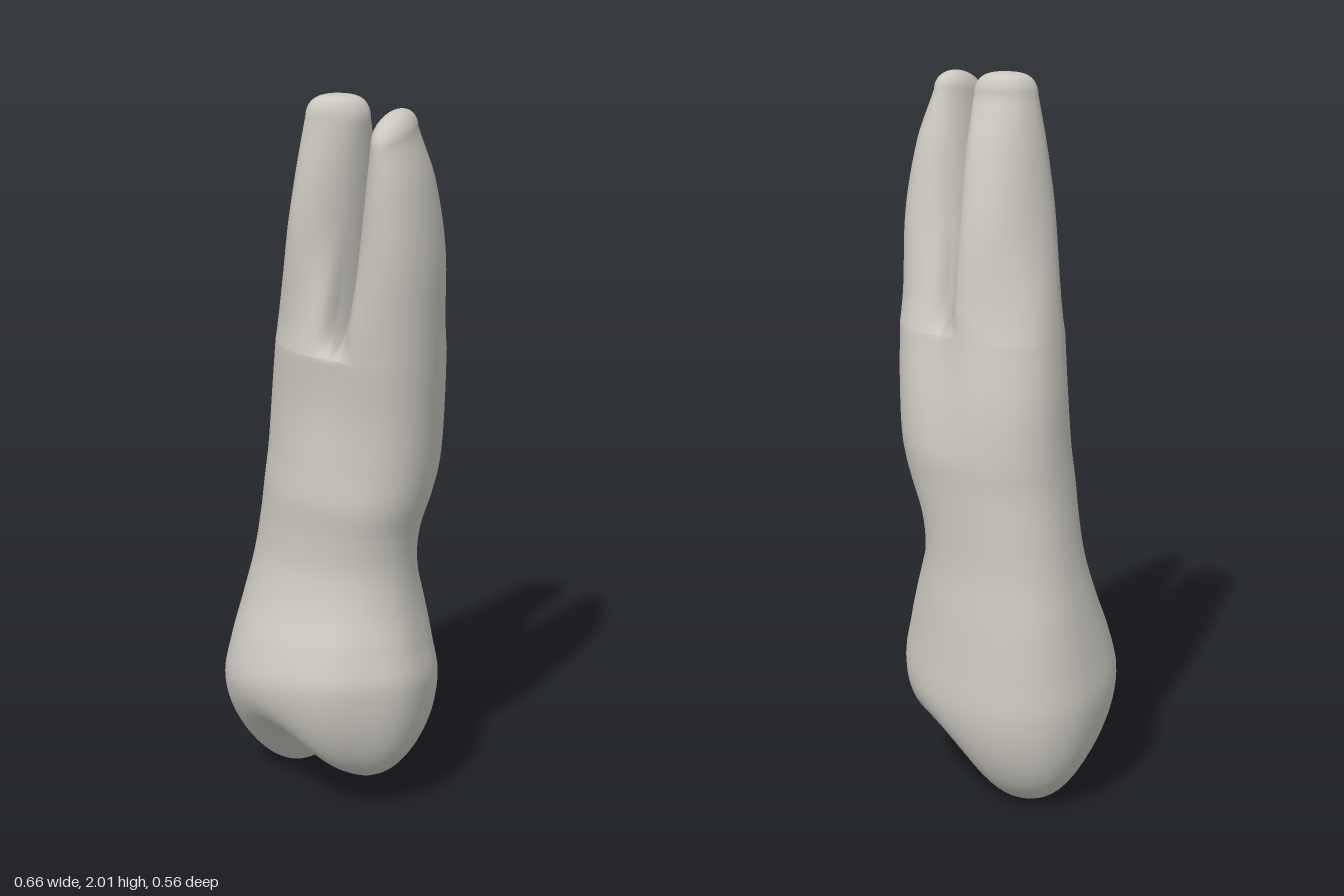
import * as THREE from 'three';
import { mergeGeometries, mergeVertices } from 'three/addons/utils/BufferGeometryUtils.js';

const N = 64;            // points around the trunk
const EQUATOR = 0.4;     // widest height of the crown
const SPLIT = 1.31;      // height where the roots part
const FRONT = 16, BACK = 49; // ring points where the roots part
const SADDLE = 14;       // points across the saddle between the roots

// Cross-section rows: y, xMin, xMax, zMin, zMax, front skew, back skew, roundness (1 is an ellipse)
const TRUNK = [
  [0.3, -0.31, 0.285, -0.27, 0.255, 0.15, 0.15, 0.87], // sets a level tangent at the equator
  [0.4, -0.33, 0.307, -0.279, 0.279, 0.15, 0.15, 0.87],
  [0.5, -0.315, 0.283, -0.271, 0.25, 0.16, 0.14, 0.87],
  [0.6, -0.292, 0.257, -0.26, 0.203, 0.18, 0.12, 0.88],
  [0.7, -0.265, 0.245, -0.247, 0.174, 0.2, 0.1, 0.9],
  [0.8, -0.245, 0.252, -0.245, 0.17, 0.22, 0.08, 0.9],
  [0.9, -0.23, 0.275, -0.247, 0.175, 0.22, 0.06, 0.9],
  [1.0, -0.22, 0.29, -0.25, 0.167, 0.22, 0.05, 0.9],
  [1.15, -0.207, 0.302, -0.238, 0.162, 0.22, 0.04, 0.9],
  [1.31, -0.182, 0.315, -0.21, 0.172, 0.2, 0.02, 0.9],
];
const RIGHT_ROOT = [
  [1.31, -0.182, 0.055, -0.21, 0.145, -0.1, -0.12, 0.9],
  [1.4, -0.163, 0.072, -0.192, 0.135, -0.15, -0.2, 0.9],
  [1.6, -0.115, 0.085, -0.15, 0.125, -0.25, -0.3, 0.93],
  [1.8, -0.075, 0.098, -0.09, 0.115, -0.35, -0.35, 0.93],
  [1.94, -0.047, 0.108, -0.03, 0.098, -0.45, -0.35, 0.9],
];
const LEFT_ROOT = [
  [1.31, 0.1, 0.315, -0.195, 0.172, 0, 0, 0.9],
  [1.4, 0.1, 0.32, -0.165, 0.175, 0, 0, 0.9],
  [1.6, 0.125, 0.326, -0.11, 0.175, 0, 0, 0.92],
  [1.8, 0.155, 0.306, -0.06, 0.175, 0, 0, 0.95],
  [1.92, 0.174, 0.272, -0.012, 0.171, 0, 0, 1],
];

// Smooth interpolation of a section table at height y
function sample(table, y) {
  const last = table.length - 1;
  let i = 0;
  while (i < last - 1 && y > table[i + 1][0]) i++;
  const slope = (k, c) => {
    const a = table[Math.max(0, k - 1)], b = table[Math.min(last, k + 1)];
    return (b[c] - a[c]) / (b[0] - a[0]);
  };
  const p = table[i], q = table[i + 1], h = q[0] - p[0];
  const t = THREE.MathUtils.clamp((y - p[0]) / h, 0, 1), t2 = t * t, t3 = t2 * t;
  const [x0, x1, z0, z1, front, back, round] = [1, 2, 3, 4, 5, 6, 7].map((c) =>
    (2 * t3 - 3 * t2 + 1) * p[c] + (t3 - 2 * t2 + t) * h * slope(i, c)
    + (3 * t2 - 2 * t3) * q[c] + (t3 - t2) * h * slope(i + 1, c));
  return { cx: (x0 + x1) / 2, cz: (z0 + z1) / 2, rx: (x1 - x0) / 2, rz: (z1 - z0) / 2, front, back, round };
}

function onSection(s, angle, y, k = 1) {
  const power = (v) => Math.sign(v) * Math.abs(v) ** s.round;
  const skew = THREE.MathUtils.lerp(s.back, s.front, (1 + Math.sin(angle)) / 2);
  return new THREE.Vector3(s.cx + k * s.rx * power(Math.cos(angle)), y, s.cz + k * s.rz * power(Math.sin(angle + skew)));
}

const bell = (d, width) => Math.exp(-((d / width) ** 2));
const turn = (a, b) => Math.atan2(Math.sin(a - b), Math.cos(a - b));

// The crown bulges lowest towards its back right corner: 1 there, 0 opposite
const lowSide = (t) => (1 - Math.cos(t - Math.PI / 4)) / 2;
const drop = (t) => 0.12 * lowSide(t);
// The front left corner of the crown is slightly flattened
const corner = (t, y) => 0.07 * bell(turn(t, 0.75), 0.45) * bell(y - EQUATOR, 0.2);

// Skin a list of closed rings running upwards
function loft(rings) {
  const n = rings[0].length, index = [];
  for (let i = 0; i < rings.length - 1; i++) {
    for (let j = 0; j < n; j++) {
      const a = i * n + j, b = i * n + (j + 1) % n;
      index.push(a, a + n, b, b, a + n, b + n);
    }
  }
  const g = new THREE.BufferGeometry();
  g.setAttribute('position', new THREE.Float32BufferAttribute(rings.flat().flatMap((p) => p.toArray()), 3));
  g.setIndex(index);
  return g;
}

// Trunk ring, with a neck dent and grooves leading to the fork
function trunkRing(y) {
  const s = sample(TRUNK, y);
  const rise = THREE.MathUtils.smoothstep(y, 0.95, SPLIT);
  const tilt = 1 - THREE.MathUtils.smoothstep(y, EQUATOR, 0.85);
  return Array.from({ length: N }, (_, j) => {
    const t = (j / N) * Math.PI * 2;
    const fork = bell(turn(t, (FRONT / N) * Math.PI * 2), 0.25) * 0.08
      + bell(turn(t, (BACK / N) * Math.PI * 2), 0.3) * 0.16;
    const dent = 0.11 * bell(turn(t, -0.6), 0.4) * bell(y - 0.75, 0.13);
    return onSection(s, t, y - drop(t) * tilt, 1 - fork * rise - dent - corner(t, y));
  });
}

// Chewing surface: two cusps with a diagonal groove between them
function cuspHeight(x, z) {
  const u = 0.89 * x + 0.45 * z, w = -0.45 * x + 0.89 * z;
  return 0.2 + 0.1 * w
    - 0.215 * bell(Math.max(u + 0.19, 0), 0.135) * bell(w, 0.27)
    - 0.135 * bell(Math.min(u - 0.19, 0), 0.125) * bell(w, 0.27);
}

function crownRings() {
  const rings = [], s = sample(TRUNK, EQUATOR), steps = 36;
  for (let i = 0; i < steps; i++) {
    const k = Math.sin((i / steps) * Math.PI / 2);
    rings.push(Array.from({ length: N }, (_, j) => {
      const t = (j / N) * Math.PI * 2, rim = EQUATOR - drop(t) * k * k;
      const p = onSection(s, t, 0, k * (1 - corner(t, EQUATOR)));
      p.y = rim - (rim - cuspHeight(p.x, p.z)) * Math.sqrt(1 - k ** (4 + lowSide(t)));
      return p;
    }));
  }
  return rings;
}

// Root: starts on its share of the fork ring and eases into its own sections
function rootRings(base, table, capHeight, slope, blunt) {
  const rings = [], start = sample(table, SPLIT), top = table[table.length - 1][0];
  const angles = base.map((p) => Math.atan2((p.z - start.cz) / start.rz, (p.x - start.cx) / start.rx));
  const steps = 48, capSteps = 10;
  for (let i = 0; i <= steps; i++) {
    const t = (i / steps) ** 1.3, s = sample(table, SPLIT + (top - SPLIT) * t);
    const slow = 1 - THREE.MathUtils.smoothstep(t, 0, 0.6), quick = (1 - t) ** 12;
    rings.push(base.map((p, j) => {
      const q = onSection(s, angles[j], 0), q0 = onSection(start, angles[j], 0);
      // The inner walls part quickly, the outer walls run on from the trunk
      const fade = THREE.MathUtils.lerp(slow, quick, bell(p.x - 0.08, 0.05));
      return new THREE.Vector3(
        q.x + (p.x - q0.x) * fade,
        p.y + (top - p.y) * t - slope * t ** 8 * (q.z - s.cz),
        q.z + (p.z - q0.z) * fade);
    }));
  }
  // Rounded tip
  const s = sample(table, top);
  for (let i = 1; i <= capSteps; i++) {
    const k = i === capSteps ? 0 : Math.cos((i / capSteps) * Math.PI / 2);
    rings.push(angles.map((a) => {
      const p = onSection(s, a, 0, k);
      p.y = top + capHeight * Math.sqrt(1 - k ** blunt) - slope * (p.z - s.cz);
      return p;
    }));
  }
  return rings;
}

export function createModel() {
  const enamel = new THREE.MeshStandardMaterial({ color: 0xcbc8c0 });
  enamel.name = 'ivory grey';

  // Crown and trunk
  const body = crownRings();
  const levels = 60;
  for (let i = 0; i <= levels; i++) body.push(trunkRing(EQUATOR + (SPLIT - EQUATOR) * (i / levels)));

  // Fork: the top ring is shared by both roots, joined by a raised saddle
  const ring = body[body.length - 1];
  const saddle = Array.from({ length: SADDLE }, (_, i) => {
    const t = (i + 1) / (SADDLE + 1);
    const p = ring[FRONT].clone().lerp(ring[BACK], t);
    p.y += 0.03 * Math.sin(Math.PI * t);
    return p;
  });
  const arc = (from, to) => Array.from({ length: to - from + 1 }, (_, i) => ring[(from + i) % N]);
  const rightBase = [...arc(FRONT, BACK), ...saddle.slice().reverse()];
  const leftBase = [...arc(BACK, FRONT + N), ...saddle];

  // Weld everything so the shading runs smoothly through the fork
  const geometry = mergeVertices(mergeGeometries([
    loft(body),
    loft(rootRings(rightBase, RIGHT_ROOT, 0.06, 0, 3.5)),
    loft(rootRings(leftBase, LEFT_ROOT, 0.06, 0.22, 2)),
  ]), 1e-5);
  geometry.computeVertexNormals();

  const tooth = new THREE.Mesh(geometry, enamel);
  tooth.name = 'crownAndRoots';
  const group = new THREE.Group();
  group.name = 'tooth';
  group.add(tooth);
  return group;
}
